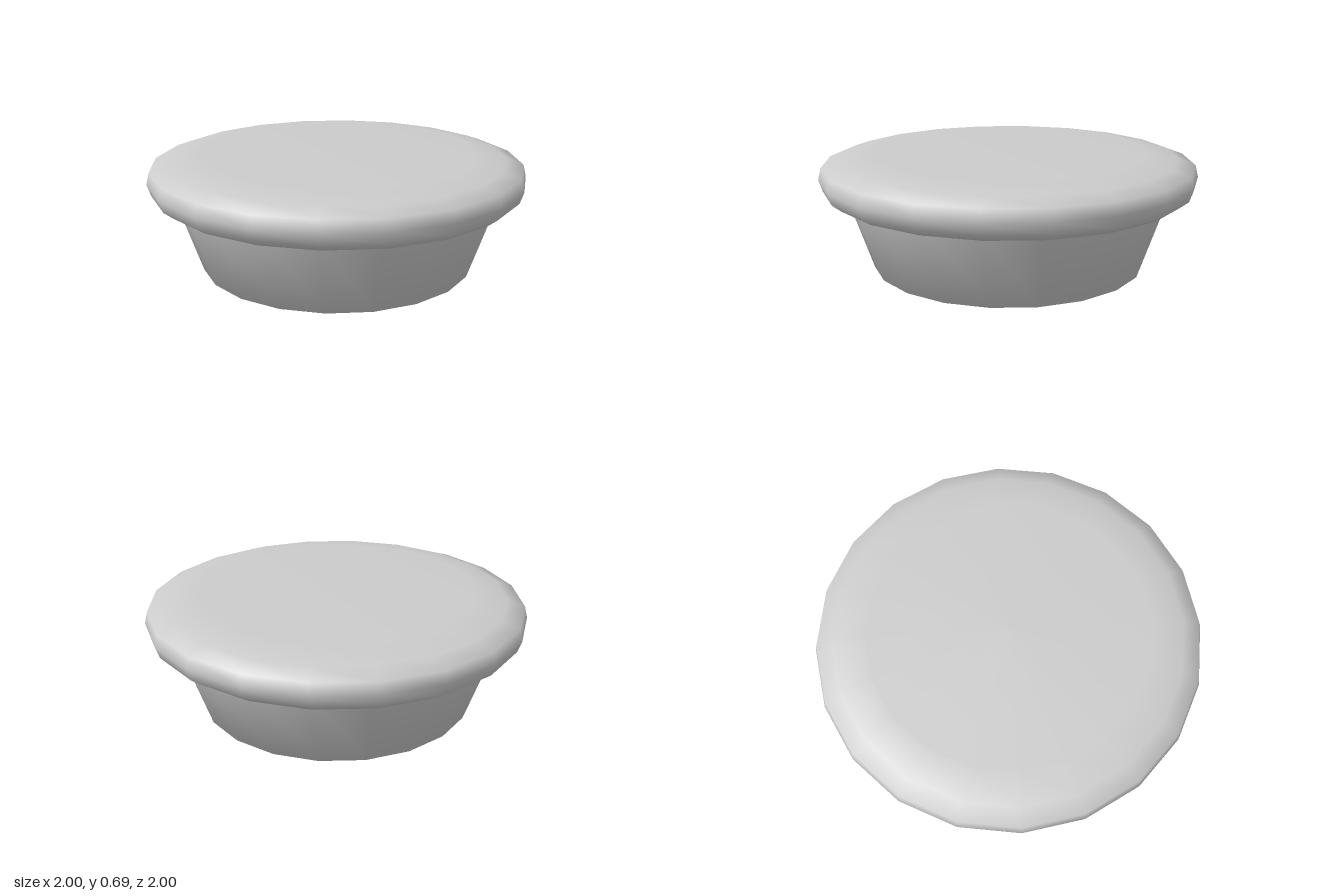
import * as THREE from 'three';

const SIDES = 20;

// Turns a profile of [radius, height] pairs, listed from bottom to top
function turned(name, profile, material) {
  const points = profile.map(([r, y]) => new THREE.Vector2(r, y));
  const mesh = new THREE.Mesh(new THREE.LatheGeometry(points, SIDES), material);
  mesh.name = name;
  return mesh;
}

export function createModel() {
  const group = new THREE.Group();
  group.name = 'lidded bowl';
  const material = new THREE.MeshStandardMaterial({ color: 0xcccccc });

  // Tapered bowl with a shallow pointed underside
  group.add(turned('bowl', [
    [0, 0], [0.53, 0.047], [0.73, 0.08], [0.86, 0.468],
  ], material));

  // Overhanging lid with a rounded rim and an almost flat top
  group.add(turned('lid', [
    [0.8, 0.465], [0.865, 0.465], [0.935, 0.475], [0.98, 0.51], [1, 0.57],
    [0.985, 0.632], [0.895, 0.665], [0.73, 0.692], [0, 0.692],
  ], material));

  return group;
}
